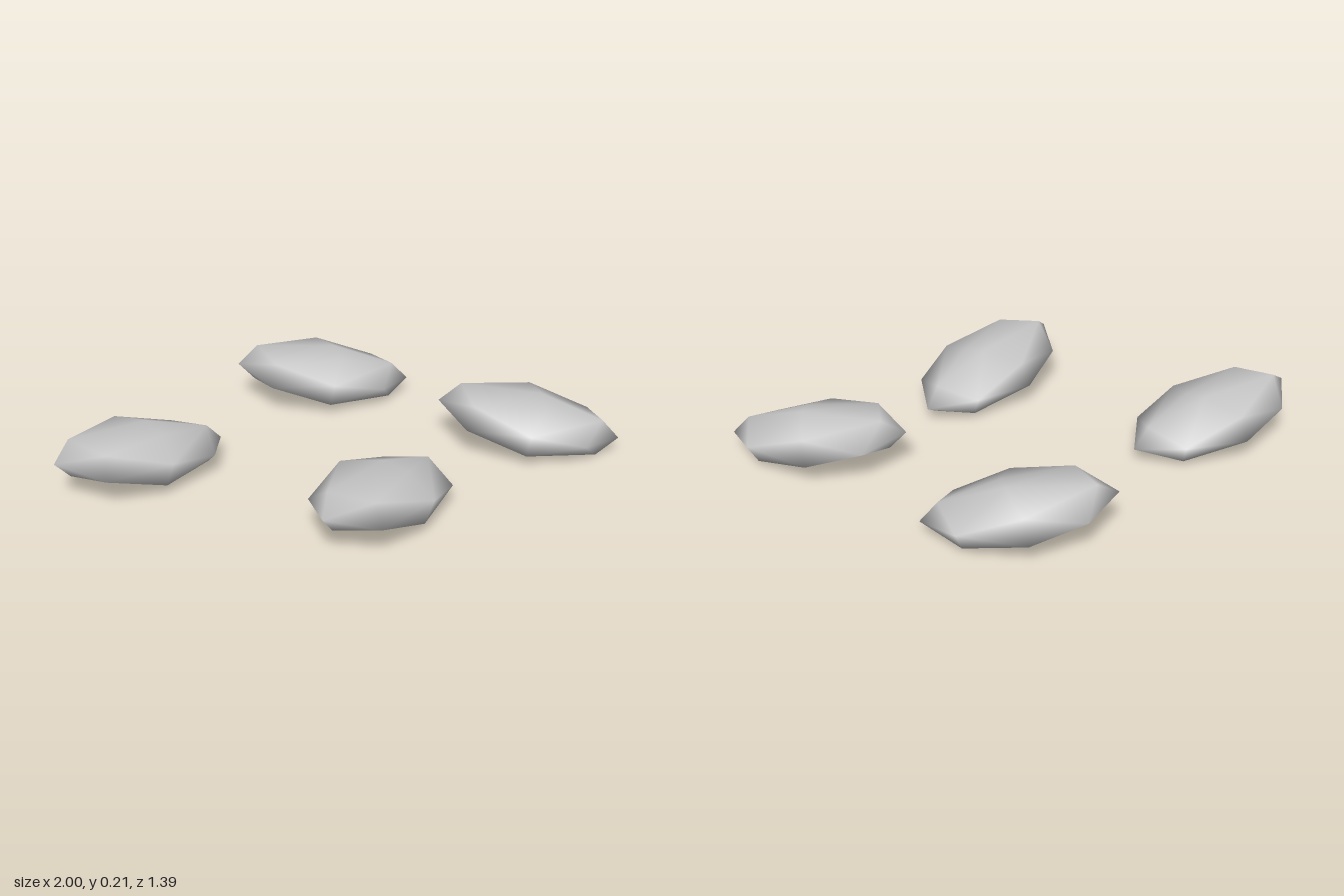
import * as THREE from 'three';
import { mergeVertices } from 'three/addons/utils/BufferGeometryUtils.js';
import { ConvexGeometry } from 'three/addons/geometries/ConvexGeometry.js';

// Half of the pebble's corners; the other half are their opposites
const CORNERS = [
  // rim
  [-0.33, 0.05, 0.064],
  [-0.245, 0.025, -0.102],
  [-0.06, -0.025, -0.191],
  [0.183, -0.008, -0.188],
  // upper side
  [-0.26, 0.107, 0.01],
  [-0.17, 0.087, 0.145],
  [-0.04, 0.067, -0.168],
  [0.042, 0.095, -0.035],
  [0.075, 0.07, 0.05],
  [0.27, 0.02, -0.045],
];

// One faceted, smooth-shaded, slightly tilted pebble
function pebbleGeometry() {
  const points = [];
  for (const c of CORNERS) {
    const v = new THREE.Vector3(...c);
    points.push(v, v.clone().negate());
  }
  const hull = new ConvexGeometry(points);
  hull.deleteAttribute('normal');
  const geometry = mergeVertices(hull, 1e-4);
  geometry.computeVertexNormals();
  return geometry;
}

export function createModel() {
  const group = new THREE.Group();
  group.name = 'pebbles';
  const stone = new THREE.MeshStandardMaterial({ color: 0xc6c6c6 });
  stone.name = 'stone grey';
  const geometry = pebbleGeometry();

  // name, x, z, turn in degrees
  const stones = [
    ['rightPebble', -0.67, -0.163, 0],
    ['backPebble', 0.198, -0.492, -28.4],
    ['leftPebble', 0.72, 0.203, -45.3],
    ['frontPebble', -0.016, 0.462, 17.7],
  ];
  for (const [name, x, z, turn] of stones) {
    const mesh = new THREE.Mesh(geometry, stone);
    mesh.name = name;
    mesh.position.set(x, 0.108, z);
    mesh.rotation.y = THREE.MathUtils.degToRad(turn);
    group.add(mesh);
  }
  return group;
}
